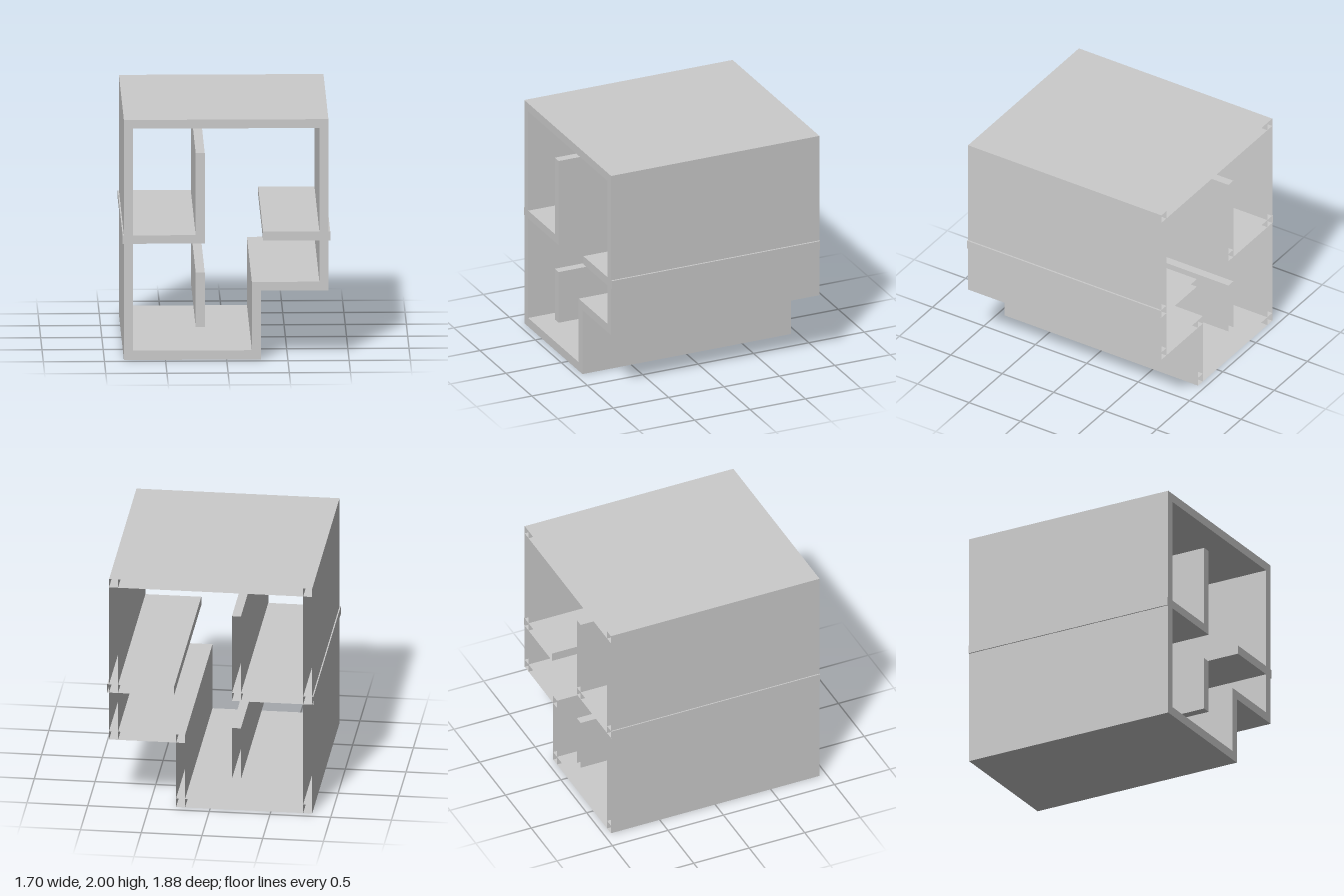
import * as THREE from 'three';

const DEPTH = 1.88;
const material = new THREE.MeshStandardMaterial({ color: 0xcccccc, side: THREE.DoubleSide });

// Hollow panel running front to back: closed at the front, open at the back
function panel(name, x0, x1, y0, y1) {
  const geometry = new THREE.BoxGeometry(x1 - x0, y1 - y0, DEPTH);
  // The last six indices are the back face
  geometry.setIndex(Array.from(geometry.index.array).slice(0, 30));
  geometry.clearGroups();
  const mesh = new THREE.Mesh(geometry, material);
  mesh.name = name;
  mesh.position.set((x0 + x1) / 2, (y0 + y1) / 2, 0);
  return mesh;
}

export function createModel() {
  const model = new THREE.Group();
  model.name = 'steppedShell';

  // Outer shell with a step cut out of the lower +x side
  const shell = new THREE.Group();
  shell.name = 'shell';
  shell.add(
    panel('floor', -0.84, 0.28, 0, 0.077),
    panel('roof', -0.84, 0.832, 1.927, 2),
    panel('rightWall', -0.84, -0.766, 0, 2),
    panel('leftWall', 0.758, 0.832, 0.573, 2),
    panel('stepLedge', 0.206, 0.832, 0.573, 0.646),
    panel('stepWall', 0.206, 0.28, 0, 0.646),
  );

  // Shelves pass slightly through the side walls
  const interior = new THREE.Group();
  interior.name = 'interior';
  interior.add(
    panel('rightShelf', -0.85, -0.179, 0.968, 1.038),
    panel('leftShelf', 0.298, 0.847, 0.99, 1.064),
    panel('upperPartition', -0.253, -0.179, 0.968, 1.722),
    panel('lowerPartition', -0.253, -0.179, 0.273, 0.727),
  );

  model.add(shell, interior);
  return model;
}
